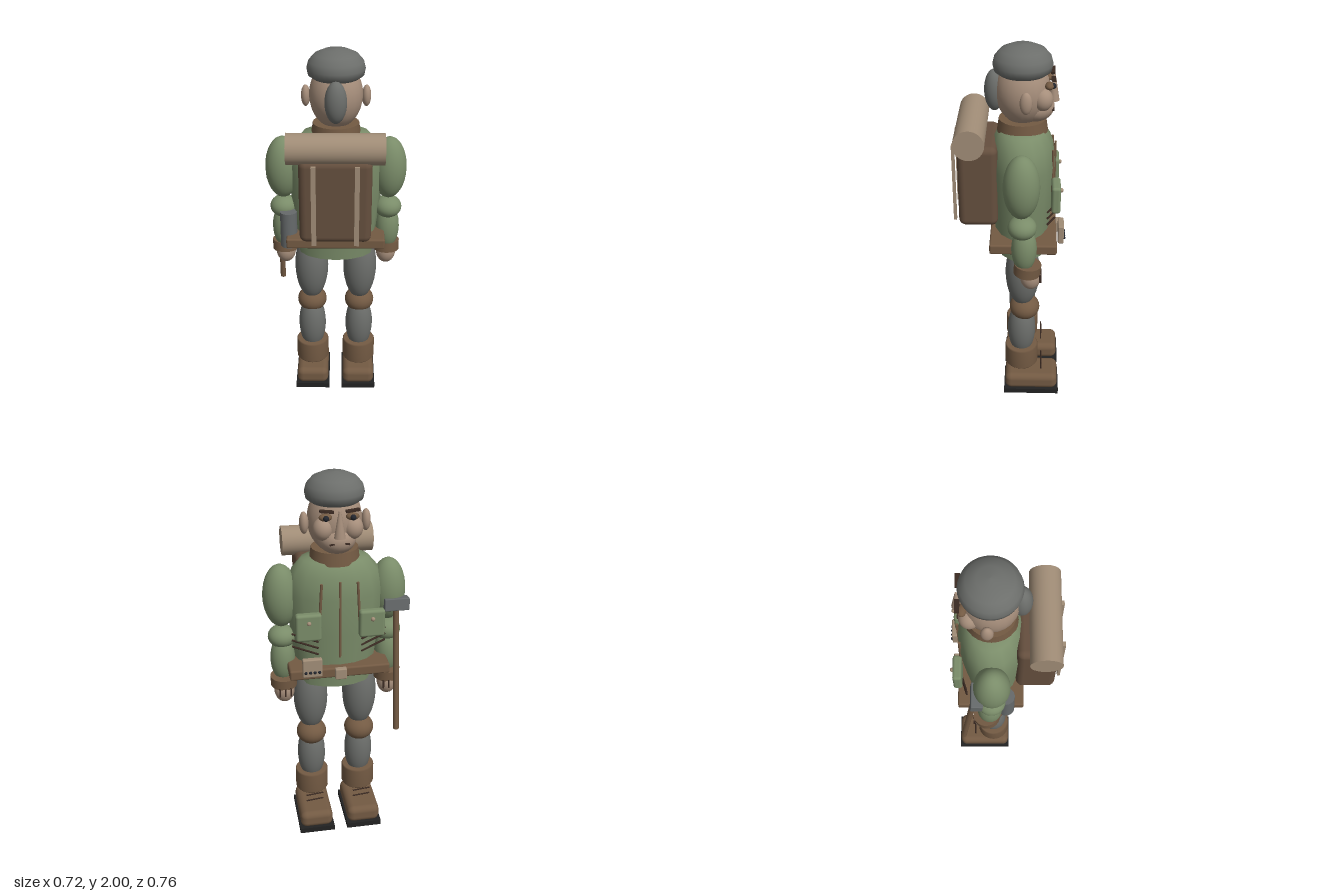
import * as THREE from 'three';
import { RoundedBoxGeometry } from 'three/addons/geometries/RoundedBoxGeometry.js';

const mat = (name, color) => {
  const m = new THREE.MeshStandardMaterial({ color });
  m.name = name;
  return m;
};

export function createModel() {
  const green = mat('jacketGreen', 0x7a8c69);
  const brown = mat('leatherBrown', 0x735a43);
  const packBrown = mat('packBrown', 0x654f3e);
  const grey = mat('clothGrey', 0x6c6e6b);
  const skin = mat('skin', 0xa68e7b);
  const tan = mat('canvasTan', 0xa18d77);
  const dark = mat('darkLine', 0x3a2a22);
  const metal = mat('metal', 0x666a6b);
  const sole = mat('soleBlack', 0x222222);
  const eyeDark = mat('eyeDark', 0x23262e);

  const body = new THREE.Group();
  body.name = 'figure';

  const add = (name, geo, m, x, y, z) => {
    const mesh = new THREE.Mesh(geo, m);
    mesh.name = name;
    mesh.position.set(x, y, z);
    body.add(mesh);
    return mesh;
  };
  const ball = (name, m, x, y, z, rx, ry = rx, rz = rx) =>
    add(name, new THREE.SphereGeometry(1, 24, 16).scale(rx, ry, rz), m, x, y, z);
  const box = (name, m, x, y, z, w, h, d, r = 0) =>
    add(name, r ? new RoundedBoxGeometry(w, h, d, 3, r) : new THREE.BoxGeometry(w, h, d), m, x, y, z);
  const cyl = (name, m, x, y, z, rt, rb, h, n = 24) =>
    add(name, new THREE.CylinderGeometry(rt, rb, h, n), m, x, y, z);
  // Thin round bar between two points
  const bar = (name, m, a, b, r) => {
    const p = new THREE.Vector3(...a), q = new THREE.Vector3(...b);
    const d = q.clone().sub(p);
    const mesh = cyl(name, m, 0, 0, 0, r, r, d.length(), 10);
    mesh.position.copy(p).add(q).multiplyScalar(0.5);
    mesh.quaternion.setFromUnitVectors(new THREE.Vector3(0, 1, 0), d.normalize());
    return mesh;
  };
  const lathe = (name, m, pts, n, sz = 1) =>
    add(name, new THREE.LatheGeometry(pts.map(p => new THREE.Vector2(...p)), n).scale(1, 1, sz), m, 0, 0, 0);

  // Jacket with closed hem
  lathe('jacket', green, [[0.205, 0.9], [0.212, 1.0], [0.235, 1.2], [0.25, 1.4], [0.225, 1.51], [0.17, 1.575], [0.1, 1.585]], 16, 0.68);
  const hem = add('jacketHem', new THREE.CircleGeometry(0.205, 16).rotateX(Math.PI / 2).scale(1, 1, 0.68), green, 0, 0.9, 0);
  hem.rotation.y = 0;
  box('belt', brown, 0, 1.007, 0.01, 0.52, 0.055, 0.345, 0.01);
  box('buckle', tan, 0, 1.01, 0.193, 0.06, 0.06, 0.03, 0.006);
  box('placket', brown, 0, 1.295, 0.167, 0.01, 0.41, 0.012);

  // Head
  cyl('collar', brown, 0, 1.595, 0, 0.118, 0.128, 0.065);
  ball('head', skin, 0, 1.77, 0, 0.135, 0.17, 0.135);
  ball('jaw', skin, 0, 1.69, 0.062, 0.095, 0.075, 0.095);
  lathe('cap', grey, [[0, 1.855], [0.115, 1.857], [0.14, 1.875], [0.146, 1.905], [0.137, 1.94], [0.108, 1.973], [0.06, 1.994], [0, 2]], 32);
  ball('hairBun', grey, 0, 1.77, -0.138, 0.055, 0.105, 0.05);
  cyl('nose', skin, 0, 1.785, 0.152, 0.006, 0.028, 0.13, 16);

  // Backpack and bedroll
  box('backpack', packBrown, 0, 1.315, -0.22, 0.36, 0.44, 0.2, 0.035);
  cyl('bedroll', tan, 0, 1.578, -0.255, 0.077, 0.077, 0.48, 32).rotation.z = Math.PI / 2;

  for (const s of [-1, 1]) {
    // Face
    ball('ear', skin, s * 0.153, 1.76, 0.017, 0.023, 0.055, 0.03);
    ball('cheek', skin, s * 0.073, 1.75, 0.097, 0.05, 0.056, 0.05);
    ball('eyelid', brown, s * 0.065, 1.816, 0.128, 0.032, 0.018, 0.022);
    ball('eye', eyeDark, s * 0.065, 1.816, 0.147, 0.014);
    box('brow', dark, s * 0.062, 1.85, 0.147, 0.066, 0.011, 0.022).rotation.z = s * 0.12;
    box('mouthCorner', dark, s * 0.037, 1.688, 0.15, 0.024, 0.006, 0.012).rotation.z = -s * 0.2;

    // Pack straps
    box('packStrap', tan, s * 0.106, 1.31, -0.343, 0.024, 0.42, 0.015);
    bar('shoulderStrap', brown, [s * 0.09, 1.49, 0.155], [s * 0.105, 1.22, 0.156], 0.007);

    // Chest pouches and cords
    box('pouch', green, s * 0.16, 1.275, 0.172, 0.13, 0.145, 0.045, 0.014);
    ball('pouchButton', tan, s * 0.16, 1.305, 0.198, 0.011);
    for (let i = 0; i < 3; i++) {
      const y = 1.205 - 0.035 * i;
      bar('cord', dark, [s * 0.24, y + 0.018, 0.13], [s * 0.11, y - 0.018, 0.17], 0.005);
    }

    // Arm
    const ax = s * 0.278;
    ball('upperArm', green, ax, 1.38, 0, 0.091, 0.168, 0.091);
    ball('elbow', green, ax, 1.155, 0.005, 0.073, 0.06, 0.073);
    ball('forearm', green, ax, 1.03, 0.015, 0.065, 0.13, 0.065);
    cyl('sleeveCuff', brown, ax, 0.912, 0.033, 0.07, 0.07, 0.055).rotation.x = 0.08;
    ball('hand', skin, ax, 0.86, 0.05, 0.054, 0.07, 0.054);
    for (let i = -1; i < 2; i++)
      box('fingerLine', dark, ax + i * 0.029, 0.865, 0.1, 0.007, 0.045, 0.012);

    // Leg
    const lx = s * 0.134;
    ball('thigh', grey, lx, 0.79, 0.008, 0.092, 0.21, 0.092);
    ball('knee', brown, lx, 0.56, 0.02, 0.082, 0.07, 0.082);
    ball('shin', grey, lx, 0.41, 0.005, 0.077, 0.175, 0.077);
    box('boot', brown, lx, 0.072, 0.062, 0.182, 0.1, 0.298, 0.035);
    box('sole', sole, lx, 0.015, 0.0625, 0.195, 0.03, 0.311);
    lathe('bootCuff', brown, [[0, 0.175], [0.086, 0.175], [0.092, 0.183], [0.092, 0.294], [0.086, 0.302], [0, 0.302]], 24)
      .position.set(lx, 0, 0.005);
    for (const y of [0.152, 0.19])
      bar('lace', dark, [lx - 0.048, y - 0.005, 0.118], [lx + 0.048, y + 0.005, 0.118], 0.004);
  }

  // Belt box with a row of holes, worn on the right
  box('beltBox', tan, -0.148, 1.062, 0.203, 0.1, 0.1, 0.03, 0.006);
  for (let i = 0; i < 4; i++)
    ball('beltBoxHole', eyeDark, -0.148 + (i - 1.5) * 0.023, 1.04, 0.219, 0.008);

  // Flask on the left hip
  cyl('flask', metal, 0.25, 1.055, -0.07, 0.045, 0.045, 0.2);

  // Hammer on the left
  bar('hammerHandle', brown, [0.305, 1.34, 0.08], [0.31, 0.62, 0.168], 0.016);
  box('hammerHead', metal, 0.307, 1.325, 0.075, 0.13, 0.065, 0.06, 0.005).rotation.x = -0.12;

  // The figure stands turned to face the diagonal
  body.rotation.y = Math.PI * 0.75;
  body.position.set(0.04, 0, -0.028);
  const model = new THREE.Group();
  model.name = 'traveller';
  model.add(body);
  return model;
}
